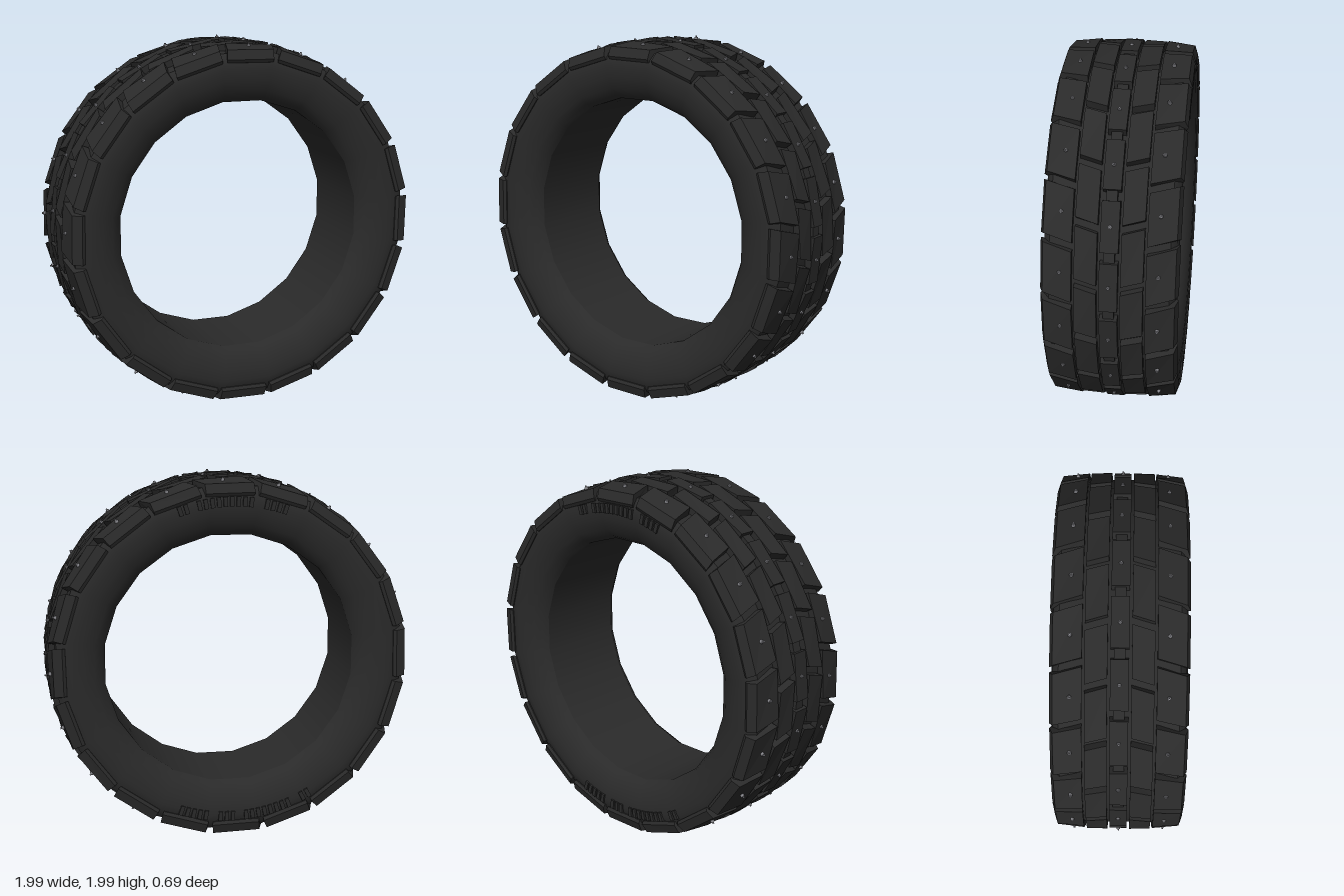
import * as THREE from 'three';

const SIDES = 20;
const DEG = Math.PI / 180;
const STEP = 360 / SIDES;

// Ring swept from a [radius, z] profile around the wheel axis
function ring(name, profile, material) {
  const points = profile.map(([r, z]) => new THREE.Vector2(r, z));
  const geometry = new THREE.LatheGeometry(points, SIDES, Math.PI / SIDES);
  geometry.rotateX(Math.PI / 2);
  const mesh = new THREE.Mesh(geometry, material);
  mesh.name = name;
  return mesh;
}

// Tread block: a convex [z, radius] section (counter-clockwise) stretched
// around the wheel; skew leans the ends so they form a chevron.
function blockGeometry(section, angle, half, skew, zMid) {
  const at = ([z, r], side) => {
    const flare = r < 0.96 ? 0.5 : 0;
    const t = (angle + side * (half + flare) + skew * (Math.abs(z) - zMid)) * DEG;
    return [r * Math.cos(t), r * Math.sin(t), z];
  };
  const low = section.map((p) => at(p, -1));
  const high = section.map((p) => at(p, 1));
  const out = [];
  const tri = (a, b, c) => out.push(...a, ...b, ...c);
  const n = section.length;
  for (let i = 0; i < n; i++) {
    const j = (i + 1) % n;
    tri(low[i], low[j], high[j]);
    tri(low[i], high[j], high[i]);
    if (i > 0 && i < n - 1) {
      tri(high[0], high[i], high[j]);
      tri(low[0], low[j], low[i]);
    }
  }
  const geometry = new THREE.BufferGeometry();
  geometry.setAttribute('position', new THREE.Float32BufferAttribute(out, 3));
  geometry.computeVertexNormals();
  return geometry;
}

const mirrored = (section) => section.map(([z, r]) => [-z, r]).reverse();

export function createModel() {
  const rubber = new THREE.MeshStandardMaterial({ color: 0x2a2a2a });
  rubber.name = 'black rubber';
  const steel = new THREE.MeshStandardMaterial({ color: 0x85858a });
  steel.name = 'stud steel';

  const model = new THREE.Group();
  model.name = 'studdedTyre';
  const tyre = new THREE.Group();
  tyre.name = 'tyre';
  tyre.position.y = 1;
  model.add(tyre);

  // Carcass: inner liner, tread base and two rounded sidewalls
  const wall = [[0.955, 0.3], [0.92, 0.33], [0.87, 0.338], [0.81, 0.333], [0.75, 0.312], [0.71, 0.282], [0.69, 0.25]];
  tyre.add(
    ring('innerLiner', [[0.69, 0.25], [0.69, -0.25]], rubber),
    ring('treadBase', [[0.955, -0.3], [0.955, 0.3]], rubber),
    ring('frontSidewall', wall, rubber),
    ring('backSidewall', wall.map(([r, z]) => [r, -z]).reverse(), rubber),
  );

  // Tread rows
  const shoulder = [[0.185, 0.92], [0.3, 0.9], [0.338, 0.905], [0.347, 0.922], [0.33, 0.972], [0.185, 0.99]];
  const middle = [[0.06, 0.92], [0.172, 0.92], [0.172, 0.99], [0.06, 0.992]];
  const centre = [[-0.046, 0.92], [0.046, 0.92], [0.046, 0.995], [-0.046, 0.995]];
  const tie = [[-0.028, 0.92], [0.028, 0.92], [0.028, 0.978], [-0.028, 0.978]];
  const rows = [
    { name: 'frontShoulderBlock', section: shoulder, angle: -2.4, half: 7.7, skew: 17, zMid: 0.26 },
    { name: 'backShoulderBlock', section: mirrored(shoulder), angle: -2.4, half: 7.7, skew: 17, zMid: 0.26 },
    { name: 'frontMiddleBlock', section: middle, angle: 3, half: 7.7, skew: 17, zMid: 0.115 },
    { name: 'backMiddleBlock', section: mirrored(middle), angle: 3, half: 7.7, skew: 17, zMid: 0.115 },
    { name: 'centreBlock', section: centre, angle: -6.2, half: 7.4, skew: 0, zMid: 0 },
    { name: 'centreTie', section: tie, angle: 2.8, half: 2.2, skew: 0, zMid: 0 },
  ];
  for (const row of rows) {
    const group = new THREE.Group();
    group.name = row.name + 's';
    for (let i = 0; i < SIDES; i++) {
      const geometry = blockGeometry(row.section, row.angle + i * STEP, row.half, row.skew, row.zMid);
      const mesh = new THREE.Mesh(geometry, rubber);
      mesh.name = row.name;
      group.add(mesh);
    }
    tyre.add(group);
  }

  // Steel studs: a flange with a fine pin on top
  const studs = new THREE.Group();
  studs.name = 'studs';
  const flange = new THREE.CylinderGeometry(0.01, 0.012, 0.03, 8);
  const pin = new THREE.CylinderGeometry(0.005, 0.005, 0.012, 6);
  for (const [z, angle, radius] of [[0.245, -2.4, 0.978], [-0.245, -2.4, 0.978], [0, -6.2, 0.988]]) {
    for (let i = 0; i < SIDES; i++) {
      const stud = new THREE.Group();
      stud.name = 'stud';
      const t = (angle + i * STEP) * DEG;
      stud.rotation.z = t - Math.PI / 2;
      stud.position.set(radius * Math.cos(t), radius * Math.sin(t), z);
      const base = new THREE.Mesh(flange, steel);
      base.name = 'studFlange';
      base.position.y = -0.01;
      const tip = new THREE.Mesh(pin, steel);
      tip.name = 'studPin';
      tip.position.y = 0.007;
      stud.add(base, tip);
      studs.add(stud);
    }
  }
  tyre.add(studs);

  // Raised ribs on the back sidewall: [start angle, count]
  const ribs = new THREE.Group();
  ribs.name = 'sidewallRibs';
  const ribGeometry = new THREE.BoxGeometry(0.022, 0.052, 0.018);
  const spacing = 2.3;
  const ribSets = [[71, 2], [78, 9], [102, 4], [-119, 2], [-111, 8], [-90, 3], [-80, 5]];
  for (const [start, count] of ribSets) {
    for (let i = 0; i < count; i++) {
      const t = (start + i * spacing) * DEG;
      const rib = new THREE.Mesh(ribGeometry, rubber);
      rib.name = 'sidewallRib';
      rib.position.set(0.868 * Math.cos(t), 0.868 * Math.sin(t), -0.338);
      rib.rotation.z = t - Math.PI / 2;
      ribs.add(rib);
    }
  }
  tyre.add(ribs);

  return model;
}
